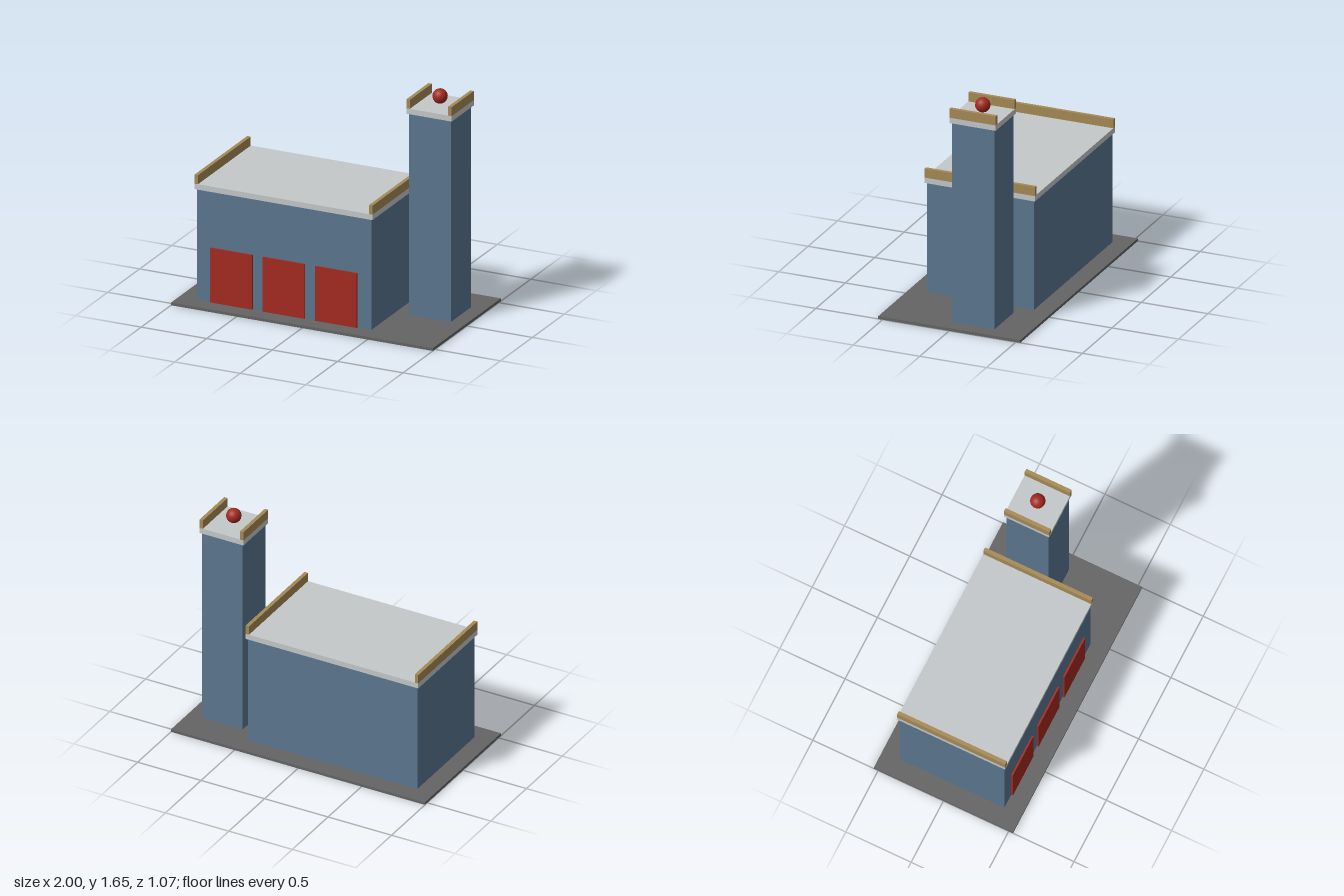
import * as THREE from 'three';

const mat = (name, color) => {
  const m = new THREE.MeshStandardMaterial({ color });
  m.name = name;
  return m;
};

export function createModel() {
  const wallBlue = mat('wallBlue', 0x5b7690);
  const roofGrey = mat('roofGrey', 0xc4c8ca);
  const doorRed = mat('doorRed', 0xa42a20);
  const trimTan = mat('trimTan', 0xa68a55);
  const asphalt = mat('asphalt', 0x646464);

  const model = new THREE.Group();
  model.name = 'fireStation';

  // Box given by its centre in x and z, and its bottom y
  const box = (parent, name, material, w, h, d, x, y, z) => {
    const mesh = new THREE.Mesh(new THREE.BoxGeometry(w, h, d), material);
    mesh.name = name;
    mesh.position.set(x, y + h / 2, z);
    parent.add(mesh);
  };

  // Walls topped by a roof slab with a parapet along each side
  const building = (name, w, d, x, z, top) => {
    const g = new THREE.Group();
    g.name = name;
    box(g, 'walls', wallBlue, w, top - 0.02, d, x, 0.02, z);
    const rw = w + 0.027, rd = d + 0.027;
    box(g, 'roofSlab', roofGrey, rw, 0.04, rd, x, top, z);
    for (const s of [-1, 1]) {
      box(g, s < 0 ? 'rightParapet' : 'leftParapet', trimTan,
        0.027, 0.066, rd, x + s * (rw / 2 - 0.0135), top + 0.04, z);
    }
    model.add(g);
    return g;
  };

  box(model, 'groundSlab', asphalt, 2, 0.02, 1.066, 0, 0, 0);

  const hall = building('engineHall', 1.333, 0.8, -0.2, 0, 0.833);
  // Three garage doors, standing slightly proud of the front wall
  [-0.6, -0.2, 0.2].forEach((x, i) =>
    box(hall, `garageDoor${i + 1}`, doorRed, 0.32, 0.4, 0.026, x, 0.02, 0.4));

  const tower = building('tower', 0.32, 0.32, 0.73, -0.133, 1.5);
  // Alarm light floating above the tower roof
  const light = new THREE.Mesh(new THREE.SphereGeometry(0.053, 24, 16), doorRed);
  light.name = 'alarmLight';
  light.position.set(0.73, 1.6, -0.133);
  tower.add(light);

  return model;
}
